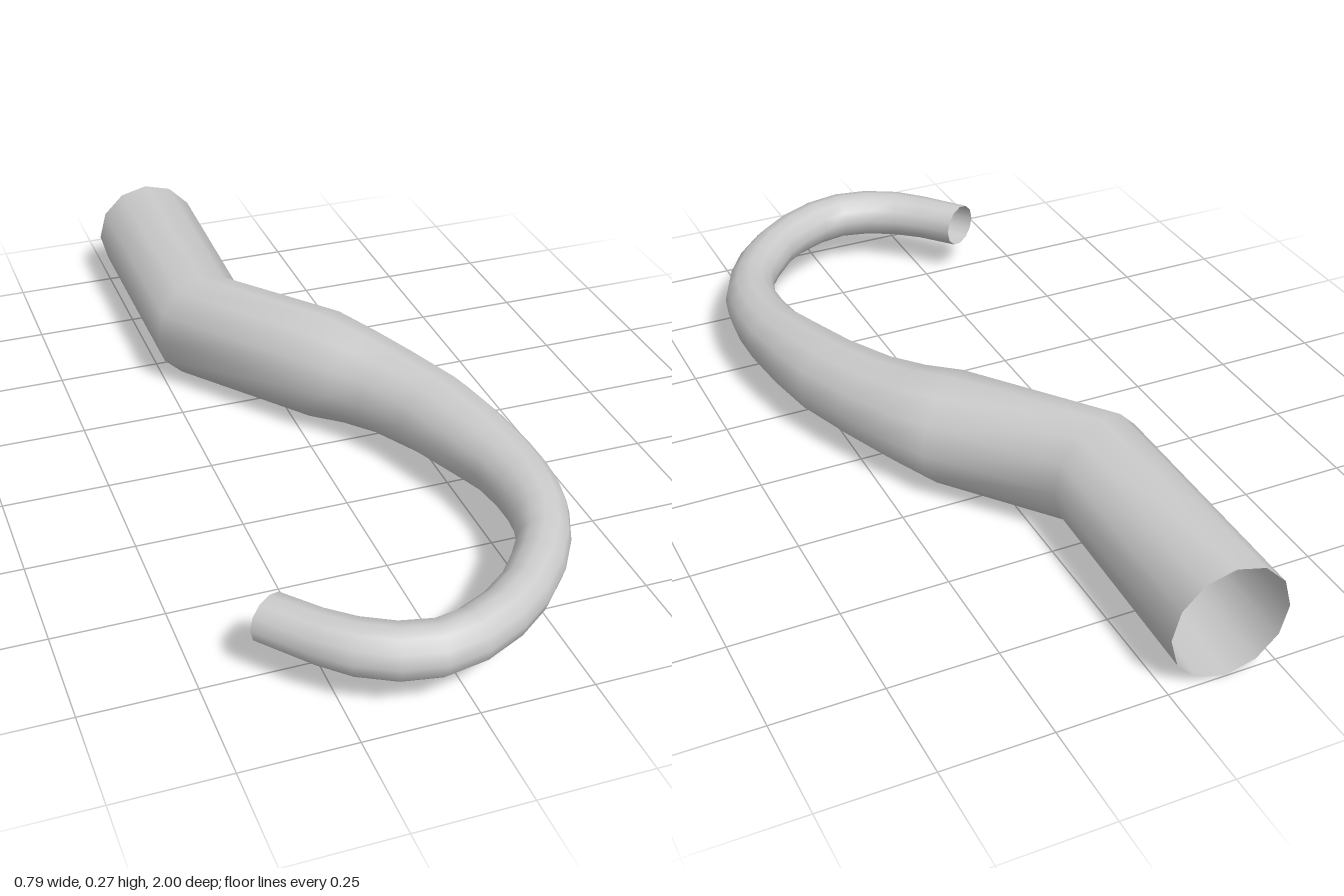
import * as THREE from 'three';

const SIDES = 12;
const AXIS_Y = 0.136;

// Inner and outer edge of each ring on the ground plan: [xIn, zIn, xOut, zOut]
const RINGS = [
  // straight socket and its bend
  [-0.27, -1, 0, -0.995],
  [-0.27, -0.39, -0.015, -0.47],
  [-0.02, -0.06, 0.19, -0.225],
  // tapering shank
  [0.04, 0, 0.25, -0.11],
  [0.095, 0.07, 0.3, 0.005],
  [0.155, 0.185, 0.35, 0.14],
  [0.2, 0.31, 0.375, 0.265],
  [0.237, 0.42, 0.39, 0.385],
  [0.247, 0.5, 0.392, 0.475],
  [0.247, 0.56, 0.385, 0.55],
  // hook of even thickness
  [0.24, 0.61, 0.37, 0.62],
  [0.22, 0.67, 0.33, 0.71],
  [0.185, 0.72, 0.275, 0.795],
  [0.125, 0.79, 0.2, 0.875],
  [0.065, 0.835, 0.12, 0.935],
  [-0.005, 0.868, 0.025, 0.98],
  [-0.065, 0.88, -0.07, 0.997],
  [-0.13, 0.865, -0.16, 0.98],
  [-0.19, 0.83, -0.245, 0.935],
  [-0.24, 0.785, -0.31, 0.875],
  [-0.3, 0.715, -0.397, 0.77],
];

// Skins circular rings, each spanning its pair of edge points
function skin(rings) {
  const positions = [], index = [];
  rings.forEach(([x0, z0, x1, z1], i) => {
    const hx = (x1 - x0) / 2, hz = (z1 - z0) / 2;
    const radius = Math.hypot(hx, hz);
    for (let j = 0; j < SIDES; j++) {
      const a = (j / SIDES) * Math.PI * 2, c = Math.cos(a);
      positions.push((x0 + x1) / 2 + hx * c, AXIS_Y + radius * Math.sin(a), (z0 + z1) / 2 + hz * c);
      if (i === 0) continue;
      const k = (j + 1) % SIDES, p = (i - 1) * SIDES, q = i * SIDES;
      index.push(p + j, p + k, q + j, p + k, q + k, q + j);
    }
  });
  const geometry = new THREE.BufferGeometry();
  geometry.setAttribute('position', new THREE.Float32BufferAttribute(positions, 3));
  geometry.setIndex(index);
  geometry.computeVertexNormals();
  return geometry;
}

export function createModel() {
  const group = new THREE.Group();
  group.name = 'hook';
  // Open-ended tapered tube
  const material = new THREE.MeshStandardMaterial({ color: 0xcccccc, side: THREE.DoubleSide });
  const tube = new THREE.Mesh(skin(RINGS), material);
  tube.name = 'hookTube';
  group.add(tube);
  return group;
}
